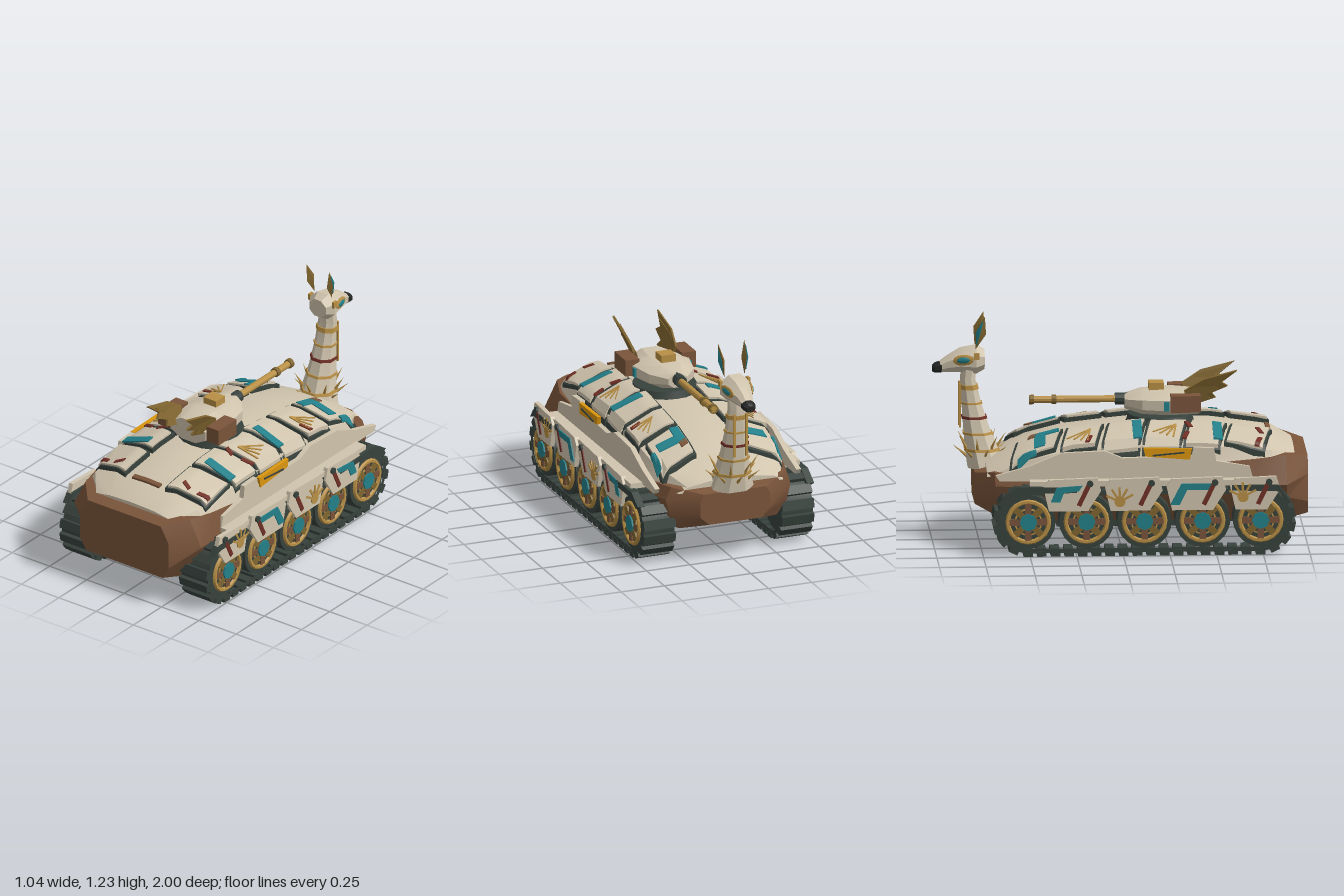
import * as THREE from 'three';
import { toCreasedNormals } from 'three/addons/utils/BufferGeometryUtils.js';

const material = (name, color) => Object.assign(new THREE.MeshStandardMaterial({ color }), { name });
const lerp = THREE.MathUtils.lerp;

// Closed loft through rings of [x, y, z] points, with capped ends
function loft(rings) {
  const t = [], n = rings[0].length;
  for (let i = 0; i + 1 < rings.length; i++) for (let j = 0; j < n; j++) {
    const k = (j + 1) % n, a = rings[i][j], b = rings[i][k], c = rings[i + 1][k], d = rings[i + 1][j];
    t.push([a, b, c], [a, c, d]);
  }
  const centre = r => [0, 1, 2].map(i => r.reduce((s, p) => s + p[i], 0) / n);
  const first = rings[0], last = rings[rings.length - 1], c0 = centre(first), c1 = centre(last);
  for (let j = 0; j < n; j++) {
    const k = (j + 1) % n;
    t.push([c0, first[k], first[j]], [c1, last[j], last[k]]);
  }
  let volume = 0;
  for (const [a, b, c] of t) volume += a[0] * (b[1] * c[2] - b[2] * c[1]) + a[1] * (b[2] * c[0] - b[0] * c[2]) + a[2] * (b[0] * c[1] - b[1] * c[0]);
  if (volume < 0) t.forEach(f => f.reverse());
  return new THREE.BufferGeometry().setAttribute('position', new THREE.Float32BufferAttribute(t.flat(2), 3));
}

// Eight-sided ring with flat sides; f places the two offsets in space
const octagon = (ra, rb, f) => Array.from({ length: 8 }, (_, i) => {
  const a = (i + 0.5) * Math.PI / 4, k = 1 / Math.cos(Math.PI / 8);
  return f(ra * k * Math.cos(a), rb * k * Math.sin(a));
});
const alongZ = list => loft(list.map(([z, y, rx, ry]) => octagon(rx, ry, (a, b) => [a, y + b, z])));
const mirrored = half => [...half, ...half.slice().reverse().map(([x, y, z]) => [-x, y, z])];

// Plate drawn in side profile as [z, y] points, thick along x
function profile(points, x, depth, holePoints) {
  const v = p => p.map(([z, y]) => new THREE.Vector2(-z, y));
  const shape = new THREE.Shape(v(points));
  if (holePoints) shape.holes.push(new THREE.Path(v(holePoints)));
  return new THREE.ExtrudeGeometry(shape, { depth, bevelEnabled: false }).rotateY(Math.PI / 2).translate(x, 0, 0);
}
const stripe = (z0, y0, z1, y1, w, x, d = 0.006) => {
  const l = Math.hypot(z1 - z0, y1 - y0), a = (y1 - y0) / l * w / 2, b = (z1 - z0) / l * w / 2;
  return profile([[z0 - a, y0 + b], [z1 - a, y1 + b], [z1 + a, y1 - b], [z0 + a, y0 - b]], x, d);
};
const box = (w, h, d, x, y, z) => new THREE.BoxGeometry(w, h, d).translate(x, y, z);

// Upper hull: z, then half profile from the outer edge to the centre
const deck = [
  [0.93, [0.26, 0.49], [0.24, 0.505], [0.15, 0.52], [0, 0.525]],
  [0.8, [0.38, 0.48], [0.345, 0.54], [0.2, 0.588], [0, 0.597]],
  [0.5, [0.41, 0.46], [0.375, 0.57], [0.2, 0.63], [0, 0.64]],
  [0.1, [0.41, 0.44], [0.375, 0.58], [0.2, 0.645], [0, 0.65]],
  [-0.3, [0.41, 0.42], [0.37, 0.55], [0.2, 0.6], [0, 0.61]],
  [-0.5, [0.39, 0.41], [0.35, 0.5], [0.18, 0.55], [0, 0.56]],
  [-0.72, [0.3, 0.4], [0.25, 0.43], [0.12, 0.45], [0, 0.455]]];
function deckY(x, z) {
  let i = 0;
  while (i < deck.length - 2 && z < deck[i + 1][0]) i++;
  const [za, ...a] = deck[i], [zb, ...b] = deck[i + 1], t = (z - za) / (zb - za);
  const p = a.map((q, k) => [lerp(q[0], b[k][0], t), lerp(q[1], b[k][1], t)]);
  x = Math.abs(x);
  for (let k = 0; k < 3; k++) if (x >= p[k + 1][0]) return lerp(p[k + 1][1], p[k][1], Math.min(1, (x - p[k + 1][0]) / (p[k][0] - p[k + 1][0])));
  return p[3][1];
}
// Slab draped over the upper hull between two heights above it
function draped(x0, x1, z0, z1, skew, low, high) {
  const g = new THREE.BoxGeometry(1, 1, 1, 8, 1, 3), p = g.attributes.position;
  for (let i = 0; i < p.count; i++) {
    const u = p.getX(i) + 0.5, x = lerp(x0, x1, u), z = lerp(z0, z1, p.getZ(i) + 0.5) + skew * u;
    p.setXYZ(i, x, deckY(x, z) + (p.getY(i) > 0 ? high : low), z);
  }
  return g;
}

// Neck: y, centre z, half width, half depth
const neck = [[0.4, -0.71, 0.12, 0.1], [0.5, -0.735, 0.09, 0.088], [0.62, -0.765, 0.07, 0.068],
  [0.75, -0.79, 0.056, 0.052], [0.88, -0.81, 0.05, 0.04], [0.97, -0.8, 0.05, 0.04]];
function neckAt(y) {
  const i = Math.max(1, neck.findIndex(r => r[0] >= y)), a = neck[i - 1], b = neck[i];
  return a.map((v, k) => lerp(v, b[k], (y - a[0]) / (b[0] - a[0])));
}
const neckRing = ([y, c, rx, rz], grow = 0) => octagon(rx + grow, rz + grow, (a, b) => [a, y, c + b]);

export function createModel() {
  const cream = material('cream', 0xd0c4ad), brown = material('brown', 0x7a543a), dark = material('dark green', 0x38423d);
  const teal = material('teal', 0x23808a), gold = material('gold', 0xb88f45), maroon = material('maroon', 0x702f25);
  const orange = material('orange', 0xdb960f), olive = material('olive gold', 0x80652f), black = material('black', 0x222524);
  const model = new THREE.Group();
  const add = (name, geometry, mat) => {
    const g = toCreasedNormals(geometry.index ? geometry.toNonIndexed() : geometry, 0.45);
    const mesh = new THREE.Mesh(g, mat);
    mesh.name = name;
    model.add(mesh);
  };
  // Adds a part on the left and its mirror image on the right
  const pair = (name, geometry, mat) => {
    add(name + 'Left', geometry, mat);
    const g = (geometry.index ? geometry.toNonIndexed() : geometry.clone()).scale(-1, 1, 1), p = g.attributes.position;
    for (let i = 0; i < p.count; i += 3) {
      const b = [p.getX(i + 1), p.getY(i + 1), p.getZ(i + 1)];
      p.setXYZ(i + 1, p.getX(i + 2), p.getY(i + 2), p.getZ(i + 2));
      p.setXYZ(i + 2, ...b);
    }
    add(name + 'Right', g, mat);
  };

  // Hull
  const lower = [[1, [0.255, 0.18], [0.297, 0.25], [0.297, 0.4], [0.245, 0.49]],
    [0.88, [0.31, 0.16], [0.385, 0.29], [0.425, 0.365], [0.35, 0.515]],
    [0.72, [0.31, 0.16], [0.385, 0.29], [0.425, 0.365], [0.4, 0.5]],
    [-0.5, [0.31, 0.16], [0.385, 0.29], [0.41, 0.365], [0.39, 0.42]],
    [-0.68, [0.28, 0.19], [0.34, 0.27], [0.36, 0.36], [0.33, 0.43]],
    [-0.78, [0.15, 0.225], [0.2, 0.27], [0.2, 0.36], [0.18, 0.4]]];
  const hull = list => loft(list.map(([z, ...half]) => mirrored(half.map(([x, y]) => [x, y, z]))));
  add('lowerHull', hull(lower), brown);
  add('upperHull', hull(deck.map(([z, ...half]) => [z, ...half.slice(0, 3), [0.02, half[3][1]]])), cream);
  add('frontVent', draped(-0.09, 0.09, 0.785, 0.81, 0, -0.01, 0.012), brown);

  // Draped armour plates with dark rims: z range and outer x
  for (const [z0, z1, xo] of [[-0.54, -0.31, 0.34], [-0.27, -0.09, 0.37], [-0.05, 0.14, 0.385], [0.17, 0.36, 0.385], [0.39, 0.57, 0.38], [0.61, 0.81, 0.36]]) {
    pair('armourRim', draped(0.132, xo + 0.006, z0 - 0.016, z1 + 0.004, -0.05, -0.02, 0.024), dark);
    pair('armourPlate', draped(0.145, xo, z0, z1 - 0.008, -0.05, -0.01, 0.034), cream);
  }
  const paint = (name, x0, x1, z0, z1, skew, mat) => pair(name, draped(x0, x1, z0, z1, skew, 0.03, 0.04), mat);
  paint('tealMark', 0.16, 0.31, -0.46, -0.4, -0.01, teal);
  paint('tealMark', 0.15, 0.2, -0.46, -0.33, 0, teal);
  paint('tealMark', 0.335, 0.36, -0.56, -0.46, 0, teal);
  paint('brownMark', 0.15, 0.195, -0.48, -0.44, -0.02, brown);
  paint('tealMark', 0.19, 0.36, 0.06, 0.11, 0, teal);
  paint('tealMark', 0.19, 0.36, 0.49, 0.54, 0, teal);
  for (const z of [-0.18, 0.34, 0.73]) paint('redMark', 0.3, 0.36, z, z + 0.025, -0.02, maroon);
  for (const z of [0.36, 0.74]) paint('redMark', 0.2, 0.25, z - 0.02, z + 0.005, 0.02, maroon);
  for (const z of [-0.17, 0.29]) for (let i = 0; i < 4; i++) paint('goldFeatherLine', 0.23, 0.35 - i * 0.015, z, z + 0.009, -0.02 - i * 0.035, gold);

  // Side skirts
  pair('upperSkirt', profile([[0.7, 0.4], [0.68, 0.47], [0.5, 0.5], [0.49, 0.57], [0.38, 0.575], [0.37, 0.53], [0, 0.52],
    [-0.1, 0.56], [-0.33, 0.55], [-0.5, 0.48], [-0.68, 0.43], [-0.66, 0.4]], 0.395, 0.028), cream);
  pair('orangePanel', profile([[0.37, 0.57], [0.11, 0.575], [0.12, 0.53], [0.36, 0.51]], 0.41, 0.022), orange);
  pair('panelSlot', stripe(0.33, 0.55, 0.16, 0.535, 0.008, 0.432), dark);
  pair('skirtShelf', box(0.1, 0.03, 1.2, 0.44, 0.395, 0.1), cream);
  for (const [a, b] of [[0.84, 0.57], [0.55, 0.23], [0.21, -0.1], [-0.12, -0.43]]) {
    pair('lowerSkirt', profile([[a - 0.02, 0.43], [b + 0.03, 0.42], [b, 0.38], [b + 0.03, 0.25], [a - 0.07, 0.25], [a, 0.36]], 0.48, 0.025), cream);
    pair('skirtBolt', new THREE.CylinderGeometry(0.018, 0.018, 0.03, 8).rotateZ(Math.PI / 2).translate(0.503, 0.4, a - 0.06), dark);
    pair('skirtRedStripe', stripe(a - 0.06, 0.405, a - 0.12, 0.28, 0.024, 0.506), maroon);
  }
  pair('skirtRail', profile([[0.87, 0.33], [0.83, 0.385], [0.58, 0.385], [0.58, 0.355], [0.82, 0.35]], 0.47, 0.04), dark);
  pair('skirtRail', profile([[-0.25, 0.38], [-0.56, 0.385], [-0.65, 0.33], [-0.62, 0.31], [-0.54, 0.35], [-0.25, 0.35]], 0.47, 0.04), dark);
  pair('skirtTealMark', profile([[0.5, 0.395], [0.31, 0.395], [0.25, 0.28], [0.3, 0.28], [0.34, 0.36], [0.47, 0.36]], 0.505, 0.006), teal);
  pair('skirtTealMark', profile([[-0.22, 0.39], [-0.36, 0.38], [-0.39, 0.3], [-0.34, 0.3], [-0.32, 0.35], [-0.24, 0.36]], 0.505, 0.006), teal);
  for (const [z, y] of [[0.64, 0.32], [-0.02, 0.3]]) {
    pair('goldPalm', new THREE.CylinderGeometry(0.03, 0.03, 0.007, 10).rotateZ(Math.PI / 2).translate(0.508, y, z), gold);
    for (let i = 0; i < 5; i++) {
      const a = 0.5 + i * 0.55;
      pair('goldFinger', stripe(z, y, z + Math.cos(a) * 0.08, y + Math.sin(a) * 0.08, 0.012, 0.505), gold);
    }
  }

  // Tracks
  const front = 0.735, rear = -0.51, axle = 0.19;
  const loop = r => {
    const pts = [];
    for (let i = 0; i <= 10; i++) pts.push([front + r * Math.cos(Math.PI * (i / 10 - 0.5)), axle + r * Math.sin(Math.PI * (i / 10 - 0.5))]);
    for (let i = 0; i <= 10; i++) pts.push([rear + r * Math.cos(Math.PI * (i / 10 + 0.5)), axle + r * Math.sin(Math.PI * (i / 10 + 0.5))]);
    return pts;
  };
  pair('trackBelt', profile(loop(0.17), 0.31, 0.18, loop(0.145)), dark);
  const cleat = (z, y, turn) => pair('trackCleat', new THREE.BoxGeometry(0.184, 0.03, 0.05).rotateX(turn).translate(0.4, y, z), dark);
  for (let i = 0; i < 18; i++) for (const s of [-1, 1]) cleat(lerp(rear, front, i / 17), axle + s * 0.174, 0);
  for (let i = 1; i < 7; i++) {
    const a = Math.PI * (i / 7 - 0.5);
    cleat(front + 0.174 * Math.cos(a), axle + 0.174 * Math.sin(a), Math.PI / 2 - a);
    cleat(rear - 0.174 * Math.cos(a), axle + 0.174 * Math.sin(a), a - Math.PI / 2);
  }

  // Road wheels
  const disc = (r, w, x, z, n = 20) => new THREE.CylinderGeometry(r, r, w, n).rotateZ(Math.PI / 2).translate(x, axle, z);
  for (const z of [0.735, 0.424, 0.113, -0.198, -0.51]) {
    pair('wheelTyre', disc(0.147, 0.15, 0.41, z), dark);
    pair('wheelRing', new THREE.TorusGeometry(0.11, 0.013, 6, 20).rotateY(Math.PI / 2).translate(0.487, axle, z), gold);
    pair('wheelFace', disc(0.075, 0.01, 0.486, z, 16), gold);
    pair('wheelInset', disc(0.066, 0.012, 0.488, z, 16), dark);
    for (let i = 0; i < 4; i++) pair('wheelSpoke', new THREE.BoxGeometry(0.012, 0.2, 0.035).rotateX(i * Math.PI / 4).translate(0.49, axle, z), i % 2 ? olive : brown);
    pair('wheelHub', disc(0.047, 0.03, 0.49, z, 8), teal);
  }

  // Turret, gun and wings
  add('turretRing', new THREE.CylinderGeometry(0.17, 0.185, 0.045, 20).translate(0, 0.66, 0.22), dark);
  add('turret', alongZ([[0.43, 0.745, 0.115, 0.062], [0.28, 0.748, 0.165, 0.07], [0.12, 0.748, 0.13, 0.062], [0.03, 0.75, 0.055, 0.038]]), cream);
  add('turretSight', box(0.085, 0.045, 0.08, 0, 0.83, 0.2), gold);
  pair('turretPod', box(0.08, 0.09, 0.16, 0.163, 0.765, 0.35), brown);
  pair('turretTealMark', box(0.012, 0.05, 0.03, 0.16, 0.745, 0.25), teal);
  const tube = (r, z0, z1, n = 10) => new THREE.CylinderGeometry(r, r, z1 - z0, n).rotateX(Math.PI / 2).translate(0, 0.76, (z0 + z1) / 2);
  add('gunMantle', tube(0.033, -0.02, 0.06), dark);
  add('gunBarrel', tube(0.019, -0.48, 0.03), gold);
  for (const z of [-0.36, -0.48]) add('barrelCollar', tube(0.026, z, z + 0.025), olive);
  for (const [i, size] of [[0, 1], [1, 0.8]]) {
    const wing = profile([[0.62, 0.95], [0.44, 0.9], [0.34, 0.83], [0.36, 0.77], [0.43, 0.755], [0.515, 0.785], [0.49, 0.815], [0.575, 0.855], [0.54, 0.88]], 0, 0.012);
    wing.translate(0, -0.76, -0.36).scale(1, size, size).rotateZ(-0.38 + i * 0.12).rotateY(-0.12).translate(0.085 + i * 0.012, 0.76, 0.36);
    pair('wing', wing, olive);
  }

  // Neck with bands and feather collar
  add('neck', loft(neck.map(r => neckRing(r))), cream);
  for (const [y, h, mat] of [[0.49, 0.015, gold], [0.58, 0.012, gold], [0.665, 0.014, maroon], [0.745, 0.01, gold], [0.825, 0.025, gold]])
    add('neckBand', loft([neckRing(neckAt(y), 0.006), neckRing(neckAt(y + h), 0.006)]), mat);
  pair('neckCord', box(0.012, 0.24, 0.012, 0.035, 0.74, -0.852), gold);
  for (let i = 0; i < 14; i++) {
    const a = (i / 14) * Math.PI * 2, low = i % 2;
    add('collarFeather', new THREE.ConeGeometry(0.013, 0.13, 5).rotateX(0.55 + low * 0.35).rotateY(a)
      .translate(Math.sin(a) * 0.105, 0.53 - low * 0.05, -0.74 + Math.cos(a) * 0.1), gold);
  }

  // Head
  add('head', alongZ([[-0.72, 0.985, 0.055, 0.05], [-0.765, 0.985, 0.082, 0.074], [-0.85, 0.983, 0.066, 0.062],
    [-0.92, 0.962, 0.042, 0.042], [-0.96, 0.946, 0.033, 0.029]]), cream);
  add('nose', alongZ([[-0.95, 0.947, 0.037, 0.03], [-0.985, 0.941, 0.033, 0.026], [-1, 0.938, 0.022, 0.016]]), black);
  const eye = (w, h, d, x) => new THREE.SphereGeometry(1, 10, 6).scale(w, h, d).rotateY(0.22).rotateX(-0.1).translate(x, 0.992, -0.835);
  pair('eyeRim', eye(0.01, 0.03, 0.06, 0.067), gold);
  pair('eye', eye(0.012, 0.019, 0.042, 0.07), teal);
  pair('templeStud', box(0.014, 0.035, 0.03, 0.08, 1.015, -0.765), gold);
  const ear = (w, h, d, x, z) => new THREE.OctahedronGeometry(1).scale(w, h, d).rotateX(0.26).rotateZ(-0.1).translate(x, 1.14, z);
  pair('ear', ear(0.018, 0.094, 0.032, 0.067, -0.745), olive);
  pair('innerEar', ear(0.014, 0.072, 0.021, 0.074, -0.75), teal);
  return model;
}
